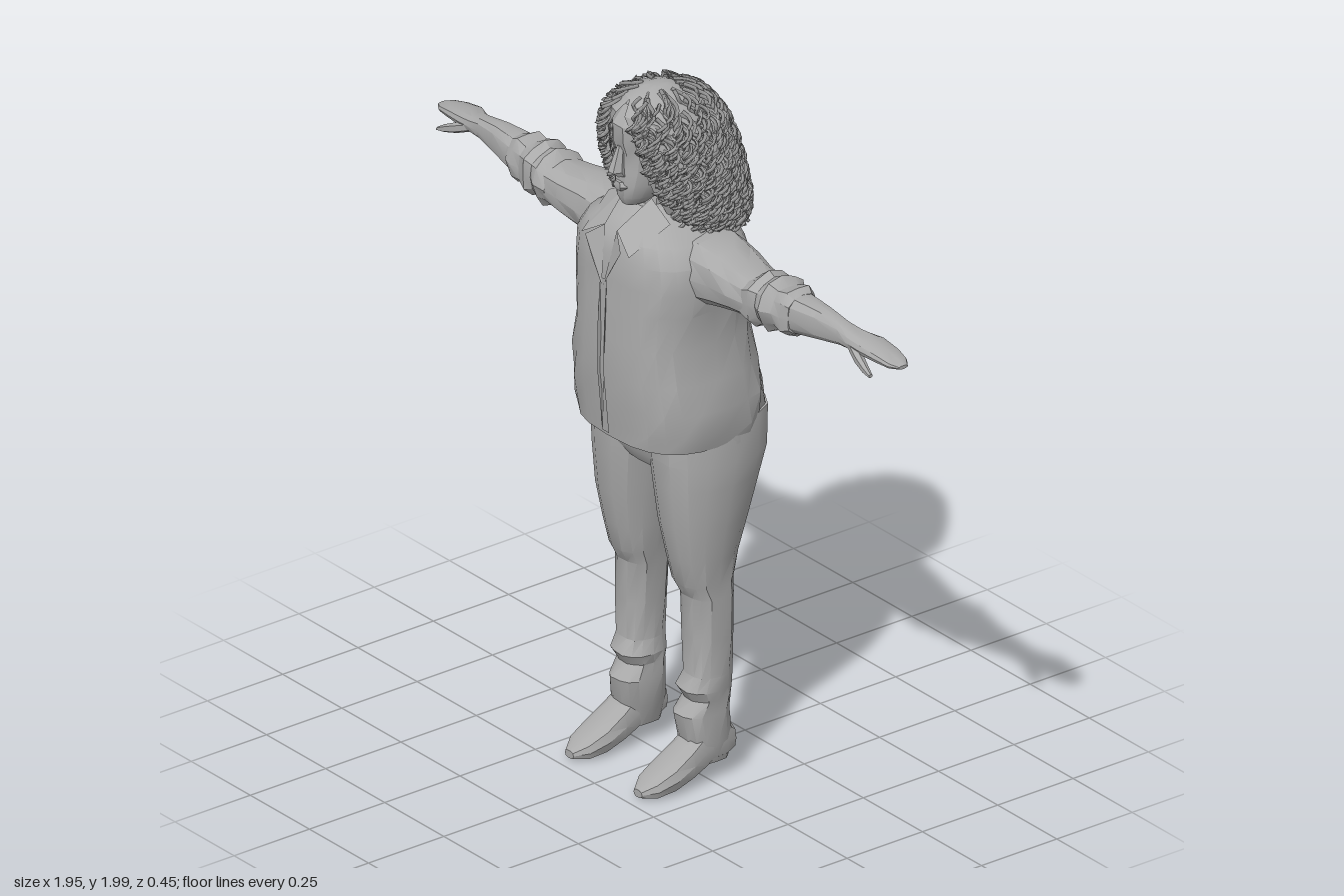
import * as THREE from 'three';
import { mergeGeometries, toCreasedNormals } from 'three/addons/utils/BufferGeometryUtils.js';

let seed = 7;
const rand = () => {
  seed = (seed * 16807) % 2147483647;
  return seed / 2147483647;
};
const spow = (v, p) => Math.sign(v) * Math.abs(v) ** p;

// One superellipse cross-section between [a0,a1] and [b0,b1], across the given axis
function ring(axis, at, a0, a1, b0, b1, { n = 16, p = 0.85, side = 1, fold = 0 } = {}) {
  const points = [];
  for (let i = 0; i < n; i++) {
    const t = (i / n) * Math.PI * 2;
    const w = 1 - fold * (0.5 + 0.5 * Math.sin(i * 2.6 + at * 37));
    const a = (a0 + a1) / 2 + ((a1 - a0) / 2) * w * spow(Math.cos(t), p);
    const s = ((b1 - b0) / 2) * w * spow(Math.sin(t), p);
    const b = (b0 + b1) / 2;
    if (axis === 'y') points.push([a, at, b + s]);
    else if (axis === 'x') points.push([side * at, a, b - side * s]);
    else points.push([a, b - s, at]);
  }
  return points;
}

// Skin over a row of cross-sections, with optional end caps
function loft(rings, { capStart = true, capEnd = true, closed = true, crease = 0.5 } = {}) {
  const n = rings[0].length;
  const pos = rings.flat(2);
  const index = [];
  for (let i = 0; i < rings.length - 1; i++) {
    for (let j = 0; j < (closed ? n : n - 1); j++) {
      const k = (j + 1) % n;
      const a = i * n + j, b = i * n + k, c = a + n, d = b + n;
      index.push(a, c, b, b, c, d);
    }
  }
  const cap = (row, flip) => {
    const centre = pos.length / 3;
    for (let k = 0; k < 3; k++) pos.push(rings[row].reduce((s, q) => s + q[k], 0) / n);
    for (let j = 0; j < n; j++) {
      const a = row * n + j, b = row * n + ((j + 1) % n);
      index.push(centre, flip ? b : a, flip ? a : b);
    }
  };
  if (capStart) cap(0, false);
  if (capEnd) cap(rings.length - 1, true);
  const geo = new THREE.BufferGeometry();
  geo.setAttribute('position', new THREE.Float32BufferAttribute(pos, 3));
  geo.setIndex(index);
  return toCreasedNormals(geo, crease);
}

// Flat cloth panel, fanned from its first corner
function panel(points) {
  const geo = new THREE.BufferGeometry();
  const tris = [];
  for (let i = 1; i < points.length - 1; i++) tris.push(...points[0], ...points[i], ...points[i + 1]);
  geo.setAttribute('position', new THREE.Float32BufferAttribute(tris, 3));
  geo.computeVertexNormals();
  return geo;
}

// Hair outline: height, half width, front z, back z, half width of the face opening
const HAIR = [
  [1.59, 0.17, 0.07, -0.19, 0.1], [1.65, 0.195, 0.11, -0.195, 0.095], [1.72, 0.192, 0.14, -0.185, 0.08],
  [1.8, 0.178, 0.17, -0.17, 0.07], [1.88, 0.15, 0.185, -0.14, 0.055], [1.93, 0.122, 0.178, -0.105, 0.02],
  [1.965, 0.085, 0.145, -0.06, 0], [1.985, 0.035, 0.09, 0, 0],
];
function hairAt(y) {
  let i = 0;
  while (i < HAIR.length - 2 && y > HAIR[i + 1][0]) i++;
  const t = THREE.MathUtils.clamp((y - HAIR[i][0]) / (HAIR[i + 1][0] - HAIR[i][0]), 0, 1);
  return HAIR[i].map((v, k) => THREE.MathUtils.lerp(v, HAIR[i + 1][k], t));
}
function hairPoint(angle, y, out) {
  const [, rx, zf, zb] = hairAt(y);
  return [Math.sin(angle) * (rx + out), y, (zf + zb) / 2 + Math.cos(angle) * ((zf - zb) / 2 + out)];
}

export function createModel() {
  const model = new THREE.Group();
  const grey = new THREE.MeshStandardMaterial({ color: 0xaaaaaa, side: THREE.DoubleSide });
  grey.name = 'plain grey';
  const add = (name, geo) => {
    const mesh = new THREE.Mesh(geo, grey);
    mesh.name = name;
    model.add(mesh);
    return mesh;
  };

  // Loose shirt, open at the hem
  const shirt = [
    [1.005, 0.235, 0.205, -0.215], [1.05, 0.25, 0.213, -0.215], [1.12, 0.254, 0.22, -0.208], [1.2, 0.238, 0.226, -0.195],
    [1.3, 0.222, 0.226, -0.18], [1.4, 0.226, 0.22, -0.172], [1.47, 0.24, 0.215, -0.168], [1.54, 0.225, 0.21, -0.16],
    [1.59, 0.19, 0.195, -0.14], [1.625, 0.13, 0.165, -0.1], [1.66, 0.075, 0.12, -0.05],
  ];
  add('shirt', loft(shirt.map(([y, r, f, b]) => ring('y', y, -r, r, b, f, { n: 24, p: 0.72, fold: y > 1.02 && y < 1.5 ? 0.035 : 0 })),
    { capStart: false }));
  add('placket', panel([[-0.012, 1.02, 0.214], [0.016, 1.02, 0.214], [0.016, 1.2, 0.231], [0.016, 1.32, 0.231],
    [0.016, 1.47, 0.222], [-0.012, 1.47, 0.222], [-0.012, 1.32, 0.231], [-0.012, 1.2, 0.231]]));

  // Hips and seat of the trousers
  const hips = [[0.9, 0.2, 0.1, -0.15], [0.94, 0.237, 0.125, -0.185], [1.0, 0.24, 0.135, -0.205], [1.08, 0.235, 0.13, -0.19]];
  add('hips', loft(hips.map(([y, r, f, b]) => ring('y', y, -r, r, b, f, { n: 20, p: 0.8 }))));

  // Neck and face
  const neck = [[1.5, 0.07, 0.12, -0.02], [1.6, 0.058, 0.11, -0.02], [1.72, 0.055, 0.1, -0.03]];
  add('neck', loft(neck.map(([y, r, f, b]) => ring('y', y, -r, r, b, f, { n: 10 }))));
  const head = [
    [1.665, 0.025, 0.152, 0.06], [1.69, 0.048, 0.165, 0.02], [1.73, 0.064, 0.168, -0.03], [1.77, 0.072, 0.165, -0.06],
    [1.82, 0.076, 0.163, -0.08], [1.85, 0.078, 0.174, -0.09], [1.9, 0.074, 0.176, -0.08], [1.95, 0.05, 0.14, -0.03],
  ];
  add('head', loft(head.map(([y, r, f, b]) => ring('y', y, -r, r, b, f, { n: 14 }))));
  add('nose', loft([ring('y', 1.755, -0.02, 0.02, 0.15, 0.18, { n: 6 }), ring('y', 1.77, -0.02, 0.02, 0.15, 0.2, { n: 6 }),
    ring('y', 1.84, -0.008, 0.008, 0.15, 0.172, { n: 6 })]));
  add('lips', loft([ring('y', 1.712, -0.014, 0.014, 0.15, 0.174, { n: 6 }), ring('y', 1.724, -0.027, 0.027, 0.145, 0.178, { n: 6 }),
    ring('y', 1.737, -0.016, 0.016, 0.15, 0.175, { n: 6 })]));

  for (const s of [1, -1]) {
    const label = s > 0 ? 'left' : 'right';
    const alongX = (rows, opt) => loft(rows.map(([x, y0, y1, z0, z1]) => ring('x', x, y0, y1, z0, z1, { n: 12, side: s, ...opt })));

    // Sleeve, rolled cuff, forearm and hand
    add(label + 'Sleeve', alongX([[0.1, 1.43, 1.6, -0.1, 0.12], [0.2, 1.415, 1.61, -0.105, 0.11], [0.28, 1.435, 1.6, -0.09, 0.1],
      [0.36, 1.455, 1.59, -0.065, 0.1], [0.45, 1.465, 1.585, -0.05, 0.095]], { fold: 0.04 }));
    add(label + 'Cuff', alongX([[0.41, 1.462, 1.583, -0.055, 0.098], [0.45, 1.445, 1.61, -0.06, 0.105], [0.475, 1.468, 1.6, -0.045, 0.095],
      [0.5, 1.452, 1.615, -0.06, 0.103], [0.535, 1.472, 1.6, -0.04, 0.088], [0.57, 1.462, 1.61, -0.045, 0.09],
      [0.595, 1.478, 1.598, -0.03, 0.08]], { fold: 0.1 }));
    add(label + 'Forearm', alongX([[0.5, 1.48, 1.59, -0.025, 0.075], [0.6, 1.486, 1.595, -0.025, 0.075], [0.68, 1.5, 1.592, -0.015, 0.06],
      [0.76, 1.513, 1.578, -0.012, 0.045], [0.8, 1.515, 1.568, -0.025, 0.045], [0.85, 1.515, 1.56, -0.048, 0.042],
      [0.91, 1.512, 1.547, -0.05, 0.03], [0.95, 1.513, 1.537, -0.042, 0.022], [0.975, 1.518, 1.528, -0.025, 0.005]]));
    add(label + 'Thumb', alongX([[0.8, 1.52, 1.55, 0.01, 0.04], [0.85, 1.5, 1.532, 0.025, 0.055],
      [0.89, 1.49, 1.513, 0.038, 0.06], [0.915, 1.487, 1.497, 0.045, 0.058]], { n: 6 }));

    // Trouser leg, with creases at the knee and ankle
    const leg = [
      [0.055, 0.1, 0.185, -0.072, 0.04], [0.12, 0.082, 0.2, -0.077, 0.065], [0.2, 0.072, 0.197, -0.077, 0.08], [0.24, 0.08, 0.197, -0.077, 0.05],
      [0.27, 0.072, 0.203, -0.077, 0.068], [0.31, 0.084, 0.2, -0.077, 0.048], [0.42, 0.075, 0.206, -0.08, 0.05],
      [0.54, 0.066, 0.208, -0.083, 0.052], [0.58, 0.058, 0.208, -0.085, 0.075], [0.66, 0.05, 0.216, -0.095, 0.092],
      [0.76, 0.034, 0.23, -0.125, 0.113], [0.88, 0.014, 0.24, -0.165, 0.125], [0.95, 0, 0.244, -0.19, 0.13], [1.06, 0, 0.235, -0.2, 0.13],
    ];
    add(label + 'Leg', loft(leg.map(([y, a, b, z0, z1]) =>
      ring('y', y, Math.min(s * a, s * b), Math.max(s * a, s * b), z0, z1, { n: 14, p: 0.8, fold: y < 0.6 ? 0.05 : 0 }))));

    // Shoe with a pointed toe
    const shoe = [[-0.08, 0.065, 0.14, 0.035], [-0.045, 0.052, 0.17, 0.048], [0, 0.052, 0.17, 0.05], [0.02, 0.035, 0.165, 0.05],
      [0.07, 0.018, 0.125, 0.054], [0.13, 0.004, 0.085, 0.056], [0.185, 0, 0.055, 0.046], [0.22, 0.008, 0.03, 0.018]];
    add(label + 'Shoe', loft(shoe.map(([z, y0, y1, r]) => ring('z', z, s * 0.145 - r, s * 0.145 + r, y0, y1, { n: 10, p: 0.75 }))));

    // Collar flap and open lapel
    add(label + 'Collar', panel([[s * 0.05, 1.685, 0.1], [s * 0.13, 1.64, 0.1], [s * 0.1, 1.565, 0.215], [s * 0.025, 1.61, 0.195]]));
    add(label + 'Lapel', panel([[s * 0.003, 1.45, 0.224], [s * 0.025, 1.61, 0.195], [s * 0.075, 1.57, 0.222], [s * 0.045, 1.52, 0.225]]));
  }

  // Hair shell, open around the face
  const shell = HAIR.map(([y, rx, , , gap]) => {
    const start = Math.asin(Math.min(1, gap / rx));
    const row = [];
    for (let j = 0; j <= 28; j++) row.push(hairPoint(-start - (j / 28) * (Math.PI * 2 - 2 * start), y, -0.012));
    return row;
  });
  add('hairShell', loft(shell, { closed: false, capStart: false }));

  // Spiral curls hanging over the shell
  const curls = [];
  for (let i = 0; i < 800; i++) {
    const angle = rand() * Math.PI * 2;
    const top = 1.985 - 0.33 * rand();
    const lowest = 1.605 + 0.03 * Math.cos(angle) - 0.02 * rand();
    const length = Math.min(0.08 + 0.12 * rand(), top - lowest);
    const phase = rand() * 6.28, turns = length * 28, size = 0.009 + 0.008 * rand();
    const path = [];
    for (let k = 0; k <= 14; k++) {
      const t = k / 14, w = phase + t * turns * 6.28 * 0.6;
      const y = top - t * length;
      path.push(new THREE.Vector3(...hairPoint(angle + (Math.cos(w) * size) / 0.14, y, Math.sin(w) * size)));
    }
    if (path.some((q) => q.z > 0.05 && q.y < 1.9 && Math.abs(q.x) < hairAt(q.y)[4])) continue;
    curls.push(new THREE.TubeGeometry(new THREE.CatmullRomCurve3(path), 20, 0.0055, 3));
  }
  add('hairCurls', mergeGeometries(curls));

  return model;
}
